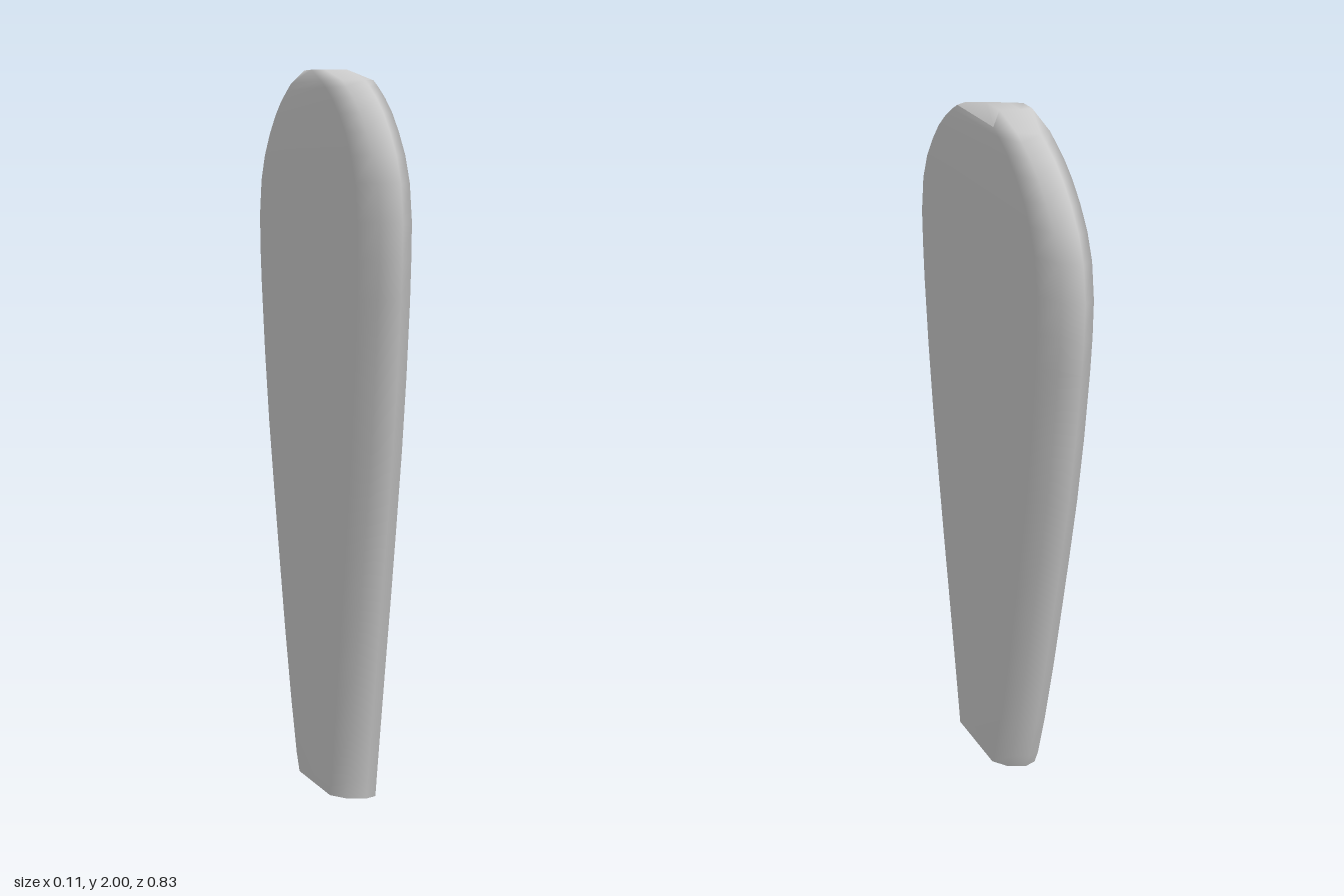
import * as THREE from 'three';

// Blade outline: height, +z edge, -z edge
const OUTLINE = [
  [0, 0.195, -0.108], [0.05, 0.203, -0.13], [0.2, 0.228, -0.172], [0.4, 0.262, -0.22],
  [0.6, 0.297, -0.263], [0.8, 0.33, -0.305], [1.0, 0.362, -0.345], [1.2, 0.388, -0.377],
  [1.4, 0.408, -0.402], [1.5, 0.414, -0.411], [1.6, 0.417, -0.414], [1.7, 0.403, -0.4],
  [1.77, 0.375, -0.372], [1.83, 0.335, -0.332], [1.88, 0.293, -0.288],
  [1.92, 0.247, -0.242], [1.95, 0.203, -0.195], [1.968, 0.172, -0.165], [2, 0.04, -0.04],
];
const FACE = 0.057, MID = 0.025, SIDES = 8;
const FACE_TOP = 1.968;

// Eight-sided section: each edge has one blunt and one long bevel
function section([y, front, back]) {
  const s = THREE.MathUtils.lerp(0.62, 1, Math.min(y / 1.6, 1));
  const sharp = 0.015 * s, mid = 0.035 * s, wide = 0.105 * s;
  return [
    [-FACE, y, back + sharp], [-MID, y, back], [MID, y, back + mid], [FACE, y, back + wide],
    [FACE, y, front - sharp], [MID, y, front], [-MID, y, front - mid], [-FACE, y, front - wide],
  ];
}

// Last section: three layers meet the tip, the +x face stops a little lower
function tipSection() {
  const below = section(OUTLINE[OUTLINE.length - 2]);
  const z = [-0.05, -0.05, -0.03, 0, 0, 0.05, 0.02, 0];
  return below.map((p, i) => (p[0] === FACE ? [FACE, FACE_TOP, p[2]] : [p[0], 2, z[i]]));
}

function makeMesh(name, points, index, material) {
  const geometry = new THREE.BufferGeometry();
  geometry.setAttribute('position', new THREE.Float32BufferAttribute(points.flat(), 3));
  geometry.setIndex(index);
  geometry.computeVertexNormals();
  const mesh = new THREE.Mesh(geometry, material);
  mesh.name = name;
  return mesh;
}

export function createModel() {
  const group = new THREE.Group();
  group.name = 'blade';
  const material = new THREE.MeshStandardMaterial({ color: 0xcccccc, side: THREE.DoubleSide });

  const rings = OUTLINE.slice(0, -1).map(section);
  rings.push(tipSection());

  // Blade skin lofted from root to tip, closed over the tip
  const skin = [];
  for (let r = 0; r < rings.length - 1; r++) {
    for (let i = 0; i < SIDES; i++) {
      const a = r * SIDES + i, b = r * SIDES + (i + 1) % SIDES;
      skin.push(a, a + SIDES, b, b, a + SIDES, b + SIDES);
    }
  }
  const top = (rings.length - 1) * SIDES;
  for (let i = 0; i < 3; i++) {
    const a = top + i, b = top + i + 1, c = top + 6 - i, d = top + 7 - i;
    skin.push(a, d, b, b, d, c);
  }
  group.add(makeMesh('bladeSkin', rings.flat(), skin, material));

  // Flat root end
  const root = [];
  for (let i = 1; i < SIDES - 1; i++) root.push(0, i, i + 1);
  group.add(makeMesh('rootEnd', rings[0], root, material));

  return group;
}
